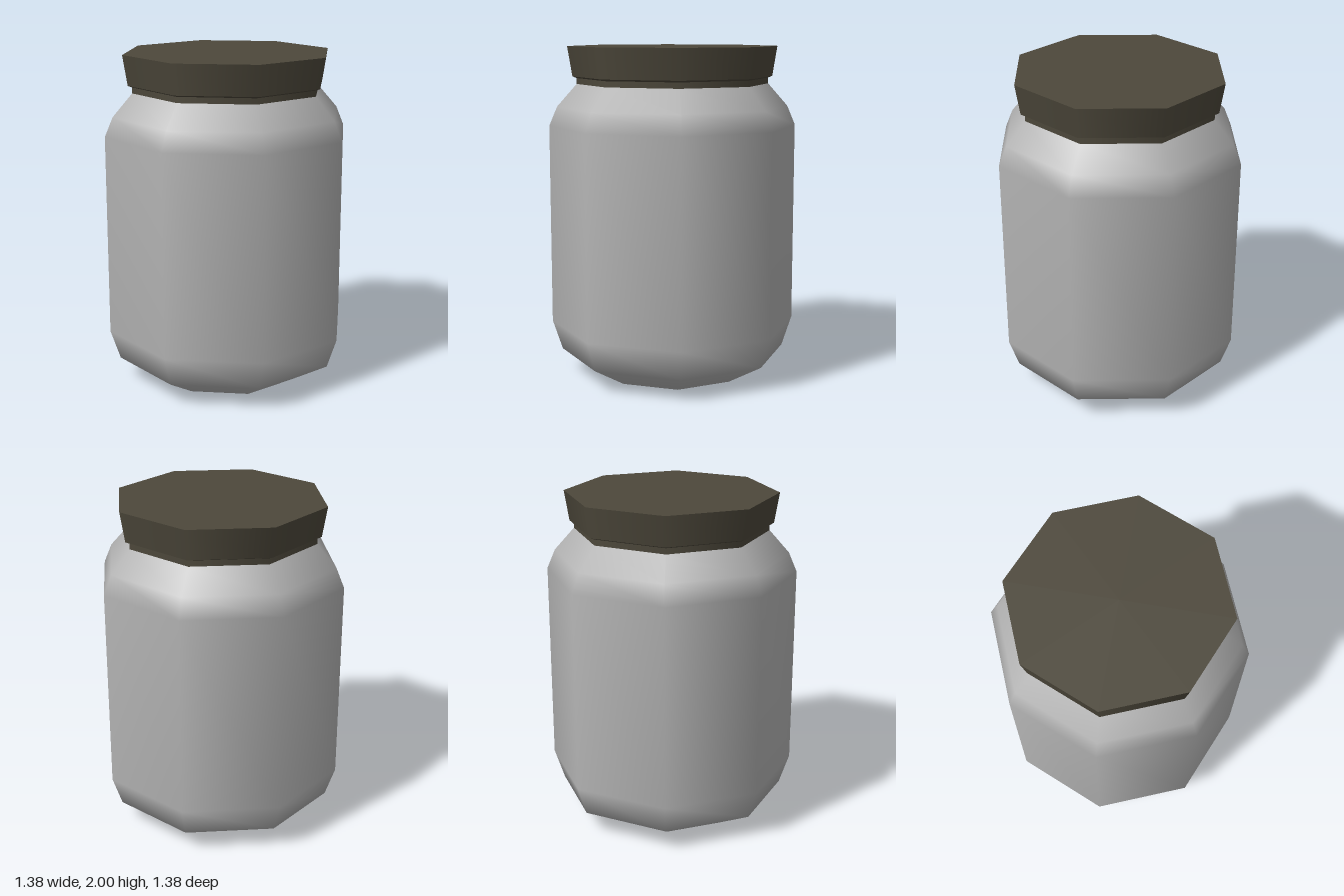
import * as THREE from 'three';

const SIDES = 8;
const TO_CORNER = 1 / Math.cos(Math.PI / SIDES); // flat-to-flat radius -> corner radius

const glass = new THREE.MeshStandardMaterial({ color: 0xb4b4b4 });
glass.name = 'greyGlass';
const lidPaint = new THREE.MeshStandardMaterial({ color: 0x4d483b });
lidPaint.name = 'darkOliveLid';

// Eight-sided shell, smooth around, from [radius, height] pairs listed bottom to top
function shell(name, profile, material) {
  const points = profile.map(([r, y]) => new THREE.Vector2(r * TO_CORNER, y));
  const mesh = new THREE.Mesh(new THREE.LatheGeometry(points, SIDES, Math.PI / SIDES), material);
  mesh.name = name;
  return mesh;
}

// Flat octagonal plate facing up or down
function cap(name, radius, y, up, material) {
  const geometry = new THREE.CircleGeometry(radius * TO_CORNER, SIDES, Math.PI / SIDES);
  geometry.rotateX(up ? -Math.PI / 2 : Math.PI / 2);
  geometry.translate(0, y, 0);
  const mesh = new THREE.Mesh(geometry, material);
  mesh.name = name;
  return mesh;
}

export function createModel() {
  const model = new THREE.Group();
  model.name = 'jar';

  // Jar body: tapered foot, straight wall, sloping shoulder
  const body = new THREE.Group();
  body.name = 'body';
  body.add(
    shell('bodyWall', [
      [0.415, 0], [0.635, 0.135], [0.69, 0.315],
      [0.69, 1.525], [0.645, 1.64], [0.535, 1.775],
    ], glass),
    cap('bodyBase', 0.415, 0, false, glass),
  );

  // Lid: each band is its own shell so the rims between them stay sharp
  const lid = new THREE.Group();
  lid.name = 'lid';
  lid.add(
    shell('lidCollar', [[0.535, 1.775], [0.535, 1.81]], lidPaint),
    shell('lidUnderside', [[0.535, 1.81], [0.558, 1.82]], lidPaint),
    shell('lidRim', [[0.558, 1.82], [0.585, 2]], lidPaint),
    cap('lidTop', 0.585, 2, true, lidPaint),
  );

  model.add(body, lid);
  return model;
}
